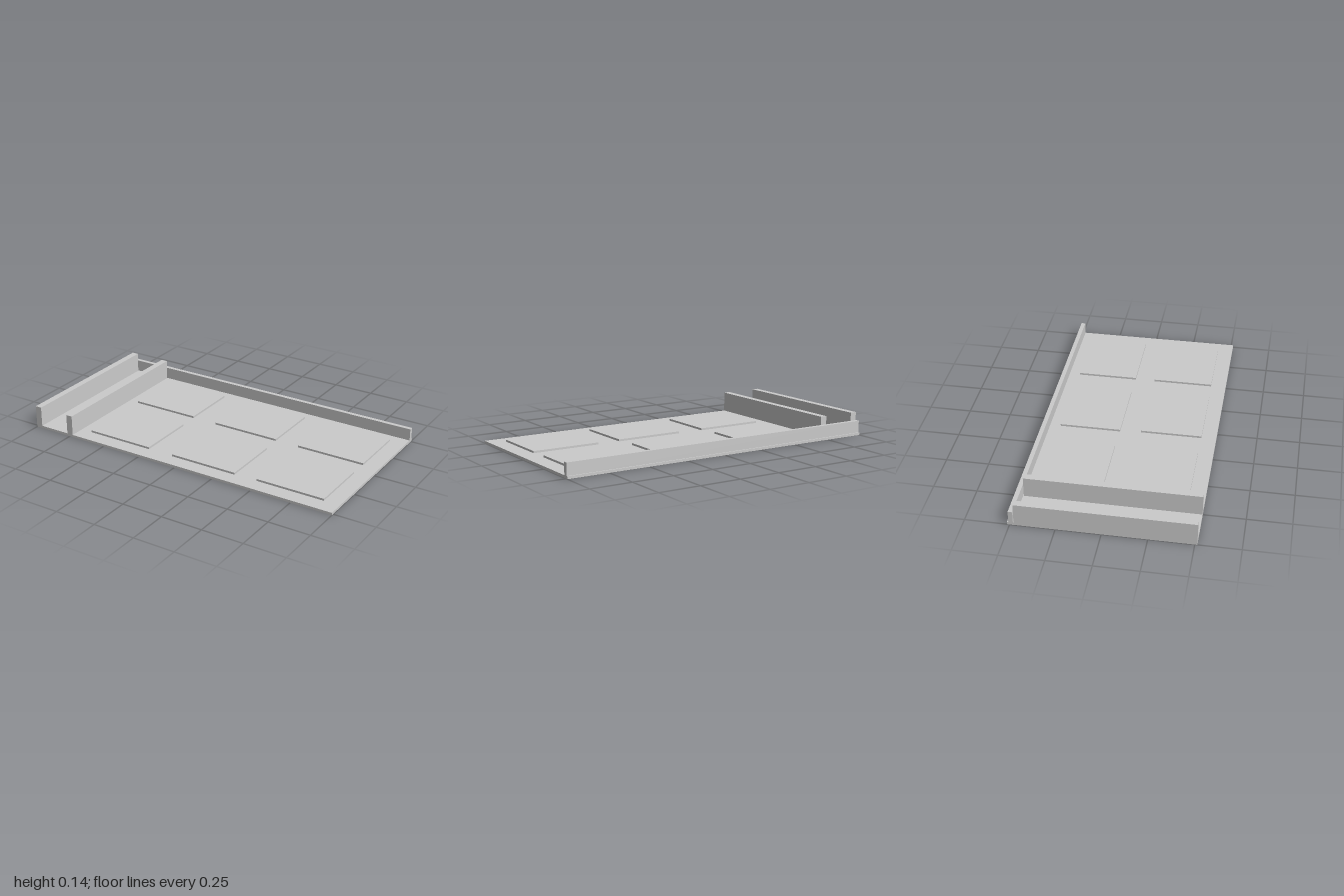
import * as THREE from 'three';

export function createModel() {
  const model = new THREE.Group();
  const material = new THREE.MeshStandardMaterial({ color: 0xcccccc, flatShading: true });

  // Box given by its lower and upper limits on each axis
  function box(name, [x0, x1], [y0, y1], [z0, z1]) {
    const mesh = new THREE.Mesh(new THREE.BoxGeometry(x1 - x0, y1 - y0, z1 - z0), material);
    mesh.position.set((x0 + x1) / 2, (y0 + y1) / 2, (z0 + z1) / 2);
    mesh.name = name;
    model.add(mesh);
  }

  const floorTop = 0.015;

  // Floor slab and low back wall
  box('floor', [-1, 1], [0, floorTop], [-0.514, 0.514]);
  box('backWall', [-1, 1], [floorTop, 0.087], [-0.506, -0.481]);

  // Two taller walls forming a channel along the right side
  box('outerSideWall', [-1, -0.96], [floorTop, 0.136], [-0.477, 0.514]);
  box('innerSideWall', [-0.767, -0.727], [floorTop, 0.136], [-0.477, 0.514]);

  // Six thin pads, each slightly off the regular grid: centre x, centre z
  const padCentres = [
    [-0.454, -0.240], [0.126, -0.237], [0.696, -0.235],
    [-0.445, 0.245], [0.138, 0.247], [0.696, 0.243],
  ];
  padCentres.forEach(([x, z], i) =>
    box(`pad${i + 1}`, [x - 0.209, x + 0.209], [floorTop, 0.027], [z - 0.18, z + 0.18]));

  return model;
}
